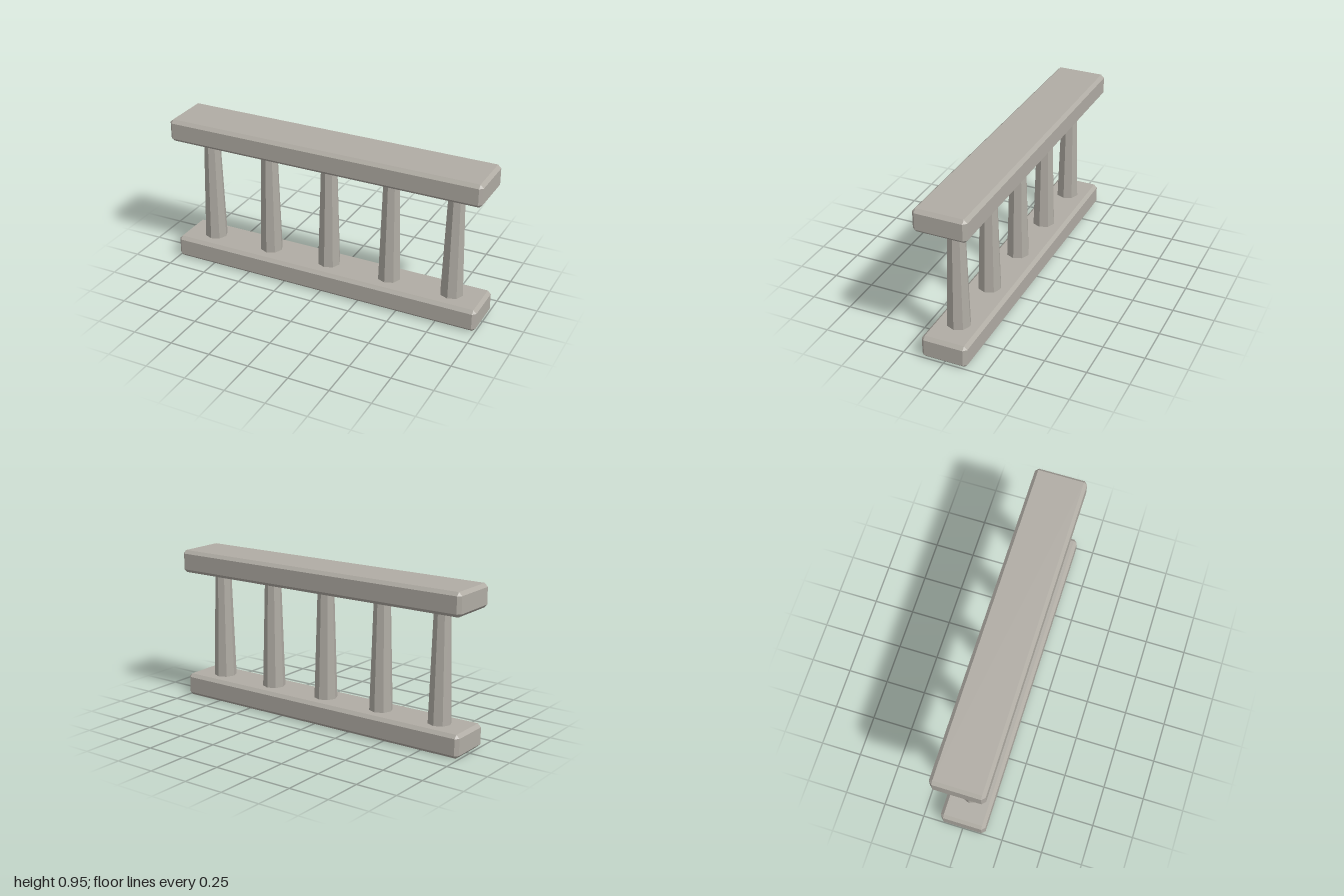
import * as THREE from 'three';
import { ConvexGeometry } from 'three/addons/geometries/ConvexGeometry.js';

// Box with every edge and corner cut by a flat chamfer c
function chamferedBox(w, h, d, c) {
  const points = [];
  for (const x of [-w / 2, w / 2])
    for (const y of [-h / 2, h / 2])
      for (const z of [-d / 2, d / 2]) {
        const ix = x - Math.sign(x) * c, iy = y - Math.sign(y) * c, iz = z - Math.sign(z) * c;
        points.push(
          new THREE.Vector3(x, iy, iz),
          new THREE.Vector3(ix, y, iz),
          new THREE.Vector3(ix, iy, z)
        );
      }
  return new ConvexGeometry(points);
}

export function createModel() {
  const group = new THREE.Group();
  group.name = 'balustrade';
  const stone = new THREE.MeshStandardMaterial({ color: 0xb0aca4, flatShading: true });
  stone.name = 'stone';

  const add = (name, geometry, x, y) => {
    const mesh = new THREE.Mesh(geometry, stone);
    mesh.name = name;
    mesh.position.set(x, y, 0);
    group.add(mesh);
  };

  // Base plinth and the slightly deeper handrail
  add('baseRail', chamferedBox(2, 0.14, 0.28, 0.02), 0, 0.07);
  add('topRail', chamferedBox(2, 0.14, 0.32, 0.02), 0, 0.88);

  // Five tapered octagonal balusters
  const baluster = new THREE.CylinderGeometry(0.05, 0.07, 0.67, 8);
  for (let i = 0; i < 5; i++) add(`baluster${i + 1}`, baluster, -0.8 + i * 0.4, 0.475);

  return group;
}
